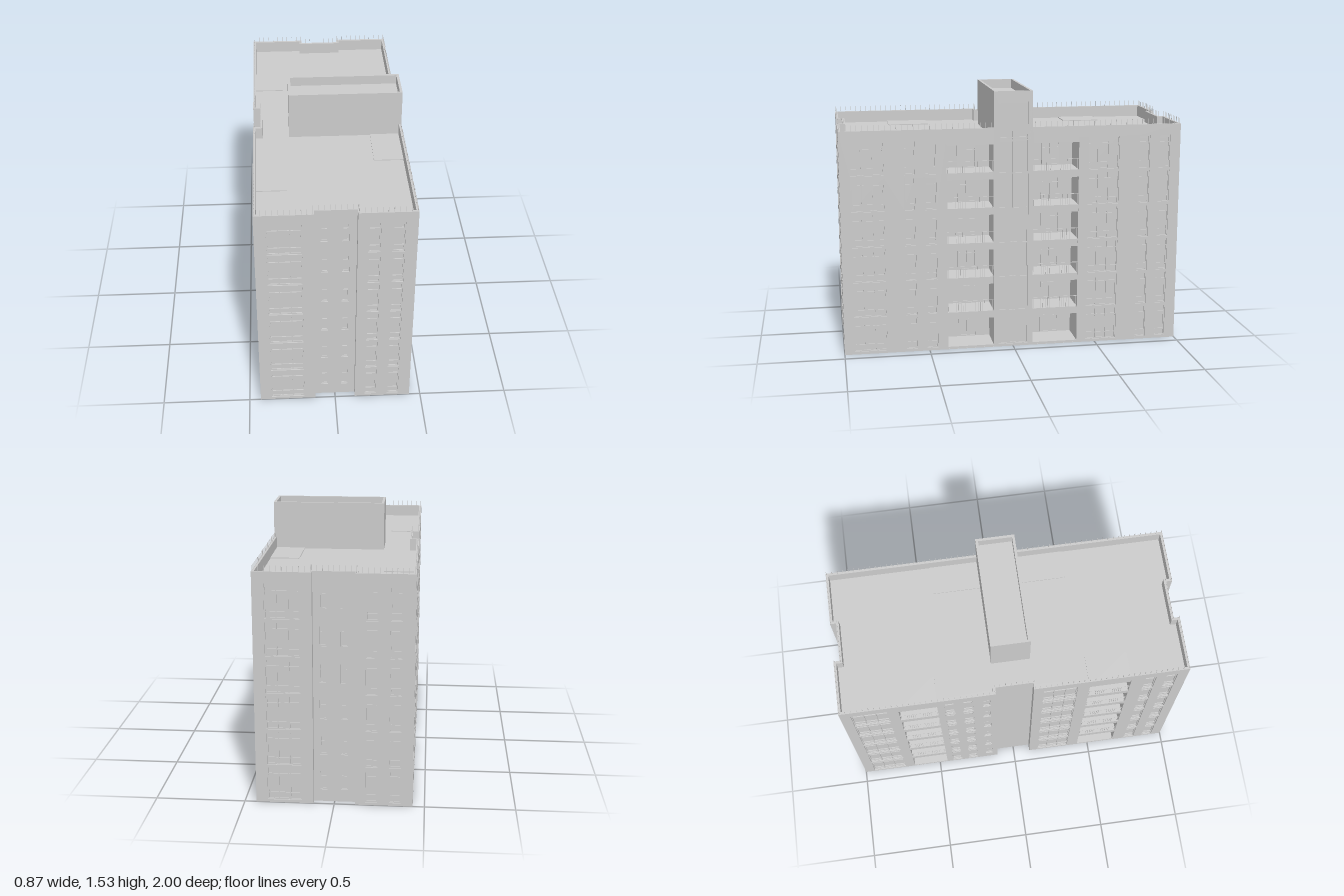
import * as THREE from 'three';
import { mergeGeometries } from 'three/addons/utils/BufferGeometryUtils.js';

const mat = new THREE.MeshStandardMaterial({ color: 0xcccccc, side: THREE.DoubleSide, flatShading: true });
const T = 0.015;            // wall thickness
const FLOORS = 6, PITCH = 0.209;
const ROOF = 1.25, TOP = 1.32, TOWER = 1.53;

// box from its min and max corners
function box(x0, x1, y0, y1, z0, z1) {
  return new THREE.BoxGeometry(x1 - x0, y1 - y0, z1 - z0)
    .translate((x0 + x1) / 2, (y0 + y1) / 2, (z0 + z1) / 2);
}
function addMesh(parent, name, geometry) {
  const mesh = new THREE.Mesh(geometry, mat);
  mesh.name = name;
  parent.add(mesh);
  return mesh;
}
function rectPath(P, u0, u1, y0, y1) {
  const p = new P();
  p.moveTo(u0, y0); p.lineTo(u1, y0); p.lineTo(u1, y1); p.lineTo(u0, y1); p.closePath();
  return p;
}

// recessed pane with frame, vertical mullions and transoms (transoms given as fractions)
function windowBoxes([u0, u1, y0, y1], mullions, transoms) {
  const f = 0.006, zb = -T, zf = -0.007;
  const out = [
    box(u0, u1, y0, y1, zb, zb + 0.002),
    box(u0, u0 + f, y0, y1, zb, zf), box(u1 - f, u1, y0, y1, zb, zf),
    box(u0, u1, y0, y0 + f, zb, zf), box(u0, u1, y1 - f, y1, zb, zf),
  ];
  for (let i = 1; i <= mullions; i++) {
    const u = u0 + (u1 - u0) * i / (mullions + 1);
    out.push(box(u - f / 2, u + f / 2, y0, y1, zb, zf));
  }
  for (const t of transoms) {
    const y = y0 + (y1 - y0) * t;
    out.push(box(u0, u1, y - f / 2, y + f / 2, zb, zf));
  }
  return out;
}

// recessed balcony bay: lining walls, slabs, doors and railings
function addBay(parent, u0, u1) {
  const D = 0.18, lining = 0.004, bay = new THREE.Group();
  bay.name = 'balconyBay';
  parent.add(bay);
  addMesh(bay, 'bayLining', mergeGeometries([
    box(u0, u1, 0, 1.255, -D - lining, -D),
    box(u0 - lining, u0, 0, 1.255, -D, -T),
    box(u1, u1 + lining, 0, 1.255, -D, -T),
  ]));
  const slabs = [box(u0, u1, 0, 0.015, -D, -0.001)], rails = [], doors = [];
  for (let i = 0; i < FLOORS; i++) {
    const y = i * PITCH + 0.018, w = u1 - u0;
    const a = u0 + w * 0.3, b = u1 - w * 0.3;
    doors.push(...windowBoxes([a, b, y, y + 0.14], 1, [0.75]).map(g => g.translate(0, 0, -D + T)));
    if (i === 0) continue;
    slabs.push(box(u0 - 0.012, u1 + 0.012, y - 0.043, y, -D - 0.015, -T), box(u0, u1, y - 0.043, y, -T, -0.001));
    // two groups of balusters plus the end posts
    const at = [0.006, w - 0.006];
    for (let k = 0; k < 5; k++) at.push(w * (0.19 + 0.05 * k), w * (0.61 + 0.05 * k));
    for (const u of at) rails.push(box(u0 + u - 0.0012, u0 + u + 0.0012, y, y + 0.067, -0.008, -0.0055));
    rails.push(box(u0, u1, y + 0.064, y + 0.067, -0.009, -0.005));
  }
  slabs.push(box(u0, u1, 1.225, 1.255, -D, -0.001));
  addMesh(bay, 'balconySlabs', mergeGeometries(slabs));
  addMesh(bay, 'balconyDoors', mergeGeometries(doors));
  addMesh(bay, 'balconyRailings', mergeGeometries(rails));
}

// wall whose outside faces local +z at the given distance, turned by angle about y
function addWall(parent, name, angle, dist, u0, u1, opt = {}) {
  const { y0 = 0, y1 = TOP, big = [], narrow = [], small = [], bays = [], tall = null } = opt;
  const pivot = new THREE.Group(), part = new THREE.Group();
  pivot.name = name;
  pivot.rotation.y = angle;
  part.position.z = dist;
  pivot.add(part);
  parent.add(pivot);
  const shape = rectPath(THREE.Shape, u0, u1, y0, y1), panes = [];
  const cut = (r, mullions, transoms) => {
    shape.holes.push(rectPath(THREE.Path, ...r));
    panes.push(...windowBoxes(r, mullions, transoms));
  };
  for (let i = 0; i < FLOORS; i++) {
    const y = i * PITCH;
    for (const [a, b] of big) cut([a, b, y + 0.016, y + 0.21], 2, [0.2, 0.78]);
    for (const [a, b] of narrow) cut([a, b, y + 0.016, y + 0.21], 0, [0.2, 0.78]);
    for (const [a, b] of small) cut([a, b, y + 0.07, y + 0.18], 0, [0.7]);
  }
  if (tall) cut(tall, 1, [1, 2, 3, 4, 5, 6].map(i => i / 7));
  for (const [a, b] of bays) {
    shape.holes.push(rectPath(THREE.Path, a, b, 0.003, 1.255));
    addBay(part, a, b);
  }
  addMesh(part, name + 'Panel', new THREE.ExtrudeGeometry(shape, { depth: T, bevelEnabled: false }).translate(0, 0, -T));
  if (panes.length) addMesh(part, name + 'Windows', mergeGeometries(panes));
}

// plan outline [x, z], moved inward by d, with the three shallow notches
function footprint(d) {
  const a = 0.435 - d, b = 1 - d, n = 0.115 + d, nb = 0.965 - d, na = 0.395 - d;
  return [
    [a, b], [n, b], [n, nb], [-n, nb], [-n, b], [-a, b],
    [-a, 0.105 + d], [-na, 0.105 + d], [-na, -0.11 - d], [-a, -0.11 - d],
    [-a, -b], [-n, -b], [-n, -nb], [n, -nb], [n, -b], [a, -b],
  ];
}

export function createModel() {
  const model = new THREE.Group();
  model.name = 'apartmentBlock';
  const Q = Math.PI / 2;

  // end facades: the back is the front turned half round
  for (const [name, turn] of [['frontFacade', 0], ['backFacade', Math.PI]]) {
    const end = new THREE.Group();
    end.name = name;
    end.rotation.y = turn;
    model.add(end);
    addWall(end, 'wideWindowWall', 0, 1, -0.435, -0.115, { big: [[-0.37, -0.18]] });
    addWall(end, 'recessedWall', 0, 0.965, -0.13, 0.13, { small: [[-0.08, -0.04], [0.035, 0.075]] });
    addWall(end, 'narrowWindowWall', 0, 1, 0.115, 0.435, { narrow: [[0.172, 0.238], [0.303, 0.368]] });
    addWall(end, 'notchReturn', Q, -0.115, -1, -0.965);
    addWall(end, 'notchReturn', -Q, -0.115, 0.965, 1);
  }

  // +x side with two balcony bays beside the stair tower
  addWall(model, 'leftSideFrontWall', Q, 0.435, -1, -0.113, {
    big: [[-0.94, -0.75]], narrow: [[-0.635, -0.572], [-0.515, -0.45]], bays: [[-0.39, -0.117]],
  });
  addWall(model, 'leftSideBackWall', Q, 0.435, 0.113, 1, {
    big: [[0.443, 0.63]], narrow: [[0.75, 0.815], [0.872, 0.938]], bays: [[0.117, 0.388]],
  });

  // -x side with a central notch
  addWall(model, 'rightSideBackWall', -Q, 0.435, -1, -0.11, {
    big: [[-0.94, -0.73]], narrow: [[-0.41, -0.35], [-0.305, -0.245]], small: [[-0.19, -0.145]], bays: [[-0.67, -0.45]],
  });
  addWall(model, 'rightSideNotchWall', -Q, 0.395, -0.125, 0.12);
  addWall(model, 'rightSideFrontWall', -Q, 0.435, 0.105, 1, {
    big: [[0.16, 0.36]], narrow: [[0.75, 0.815], [0.872, 0.938]], bays: [[0.43, 0.67]],
  });
  addWall(model, 'notchReturn', 0, -0.11, -0.435, -0.395);
  addWall(model, 'notchReturn', Math.PI, -0.105, 0.395, 0.435);

  // stair tower rising above the roof
  addWall(model, 'towerGlazedWall', Q, 0.435, -0.113, 0.113, { y1: TOWER, tall: [-0.088, 0.088, 0.015, 1.468] });
  addWall(model, 'towerInnerWall', -Q, 0.225, -0.113, 0.113, { y0: ROOF, y1: TOWER });
  addWall(model, 'towerFrontWall', 0, 0.113, -0.225, 0.435, { y0: ROOF, y1: TOWER });
  addWall(model, 'towerBackWall', Math.PI, 0.113, -0.435, 0.225, { y0: ROOF, y1: TOWER });
  addMesh(model, 'towerRoof', box(-0.22, 0.425, 1.46, 1.475, -0.108, 0.108));

  // main roof slab
  const roof = new THREE.Shape(footprint(0.012).map(([x, z]) => new THREE.Vector2(x, -z)));
  addMesh(model, 'roofSlab', new THREE.ExtrudeGeometry(roof, { depth: 0.012, bevelEnabled: false })
    .rotateX(-Q).translate(0, ROOF - 0.012, 0));

  // thin posts along the parapet
  const posts = [], ring = footprint(0.006);
  ring.forEach(([x0, z0], i) => {
    const [x1, z1] = ring[(i + 1) % ring.length];
    const steps = Math.max(1, Math.round(Math.hypot(x1 - x0, z1 - z0) / 0.032));
    for (let k = 0; k < steps; k++) {
      const x = x0 + (x1 - x0) * k / steps, z = z0 + (z1 - z0) * k / steps;
      if (x > 0.4 && Math.abs(z) < 0.115) continue;
      posts.push(box(x - 0.0013, x + 0.0013, TOP, 1.352, z - 0.0013, z + 0.0013));
    }
  });
  addMesh(model, 'parapetPosts', mergeGeometries(posts));
  return model;
}
